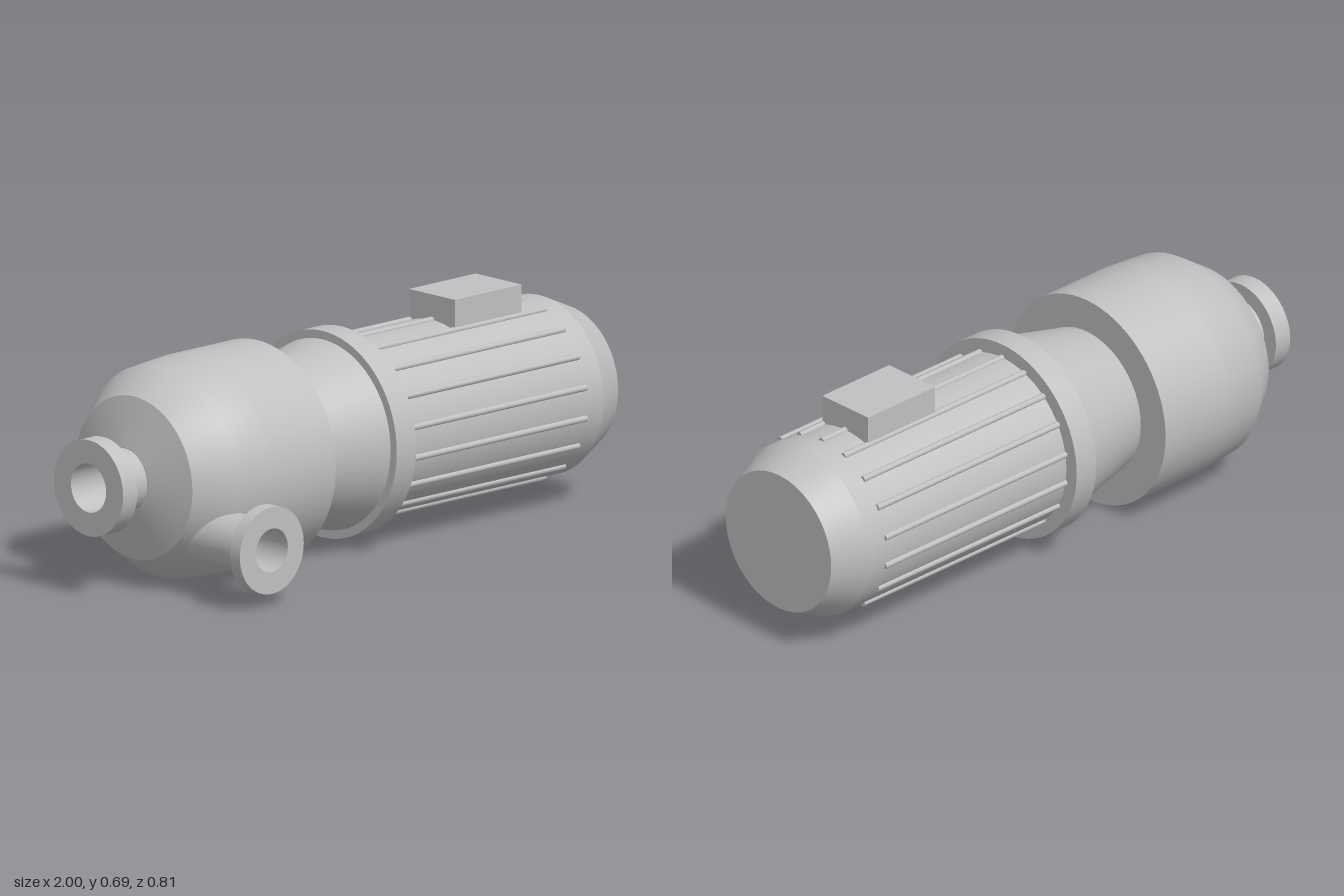
import * as THREE from 'three';
import { mergeGeometries } from 'three/addons/utils/BufferGeometryUtils.js';

const AXIS_Y = 0.338, AXIS_Z = -0.067;

// Each section is a smooth run of [radius, height]; edges between sections stay sharp.
function turned(sections, segments = 72) {
  return mergeGeometries(sections.map(points =>
    new THREE.LatheGeometry(points.map(([r, h]) => new THREE.Vector2(r, h)), segments)));
}

// Splits a list of profile points into sharp straight sections.
const sharp = points => points.slice(1).map((p, i) => [points[i], p]);

// Hollow pipe ending in a flange at height `end`.
function flangedPipe(start, end, pipeR, flangeR, boreR, thickness) {
  return turned(sharp([
    [pipeR, start], [pipeR, end - thickness], [flangeR, end - thickness],
    [flangeR, end], [boreR, end], [boreR, start],
  ]), 48);
}

export function createModel() {
  const model = new THREE.Group();
  model.name = 'motorPump';
  const steel = new THREE.MeshStandardMaterial({ color: 0xc0c0c0 });
  steel.name = 'steelGrey';

  const add = (name, geometry, parent = model) => {
    const mesh = new THREE.Mesh(geometry, steel);
    mesh.name = name;
    parent.add(mesh);
    return mesh;
  };

  // Everything turned about the shaft, which runs along x
  const shaft = new THREE.Group();
  shaft.name = 'shaftAssembly';
  shaft.position.set(0, AXIS_Y, AXIS_Z);
  model.add(shaft);
  const addTurned = (name, sections) =>
    add(name, turned(sections).rotateZ(-Math.PI / 2), shaft);

  addTurned('pumpCasing', [
    [[0, -0.85], [0.1, -0.85]],
    [[0.1, -0.85], [0.25, -0.81]],
    [[0.25, -0.81], [0.325, -0.70], [0.336, -0.56]],
    [[0.336, -0.56], [0.336, -0.293]],
    [[0.336, -0.293], [0, -0.293]],
  ]);
  addTurned('adapterCone', [[[0.23, -0.293], [0.292, -0.02]]]);
  addTurned('motorFlange', sharp([[0.27, -0.02], [0.318, -0.02], [0.318, 0.062], [0.25, 0.062]]));
  addTurned('motorBody', sharp([[0.274, 0.06], [0.274, 0.89], [0.225, 1], [0, 1]]));

  // Round cooling ribs half sunk into the motor body
  const ribCount = 18;
  for (let i = 0; i < ribCount; i++) {
    const a = i / ribCount * Math.PI * 2;
    const rib = new THREE.CylinderGeometry(0.01, 0.01, 0.76, 12).rotateZ(-Math.PI / 2);
    add('coolingRib', rib, shaft).position.set(0.44, Math.cos(a) * 0.274, Math.sin(a) * 0.274);
  }

  // Inlet on the shaft axis, facing -x
  const inlet = flangedPipe(0.84, 1, 0.098, 0.148, 0.075, 0.06).rotateZ(Math.PI / 2);
  add('inletPipe', inlet, shaft);

  // Outlet low on the casing, facing +z
  const outlet = flangedPipe(0.04, 0.405, 0.087, 0.134, 0.067, 0.042).rotateX(Math.PI / 2);
  add('outletPipe', outlet).position.set(-0.695, 0.176, 0);

  // Terminal box on top of the motor
  add('terminalBox', new THREE.BoxGeometry(0.28, 0.11, 0.196)).position.set(0.58, 0.635, AXIS_Z);

  return model;
}
